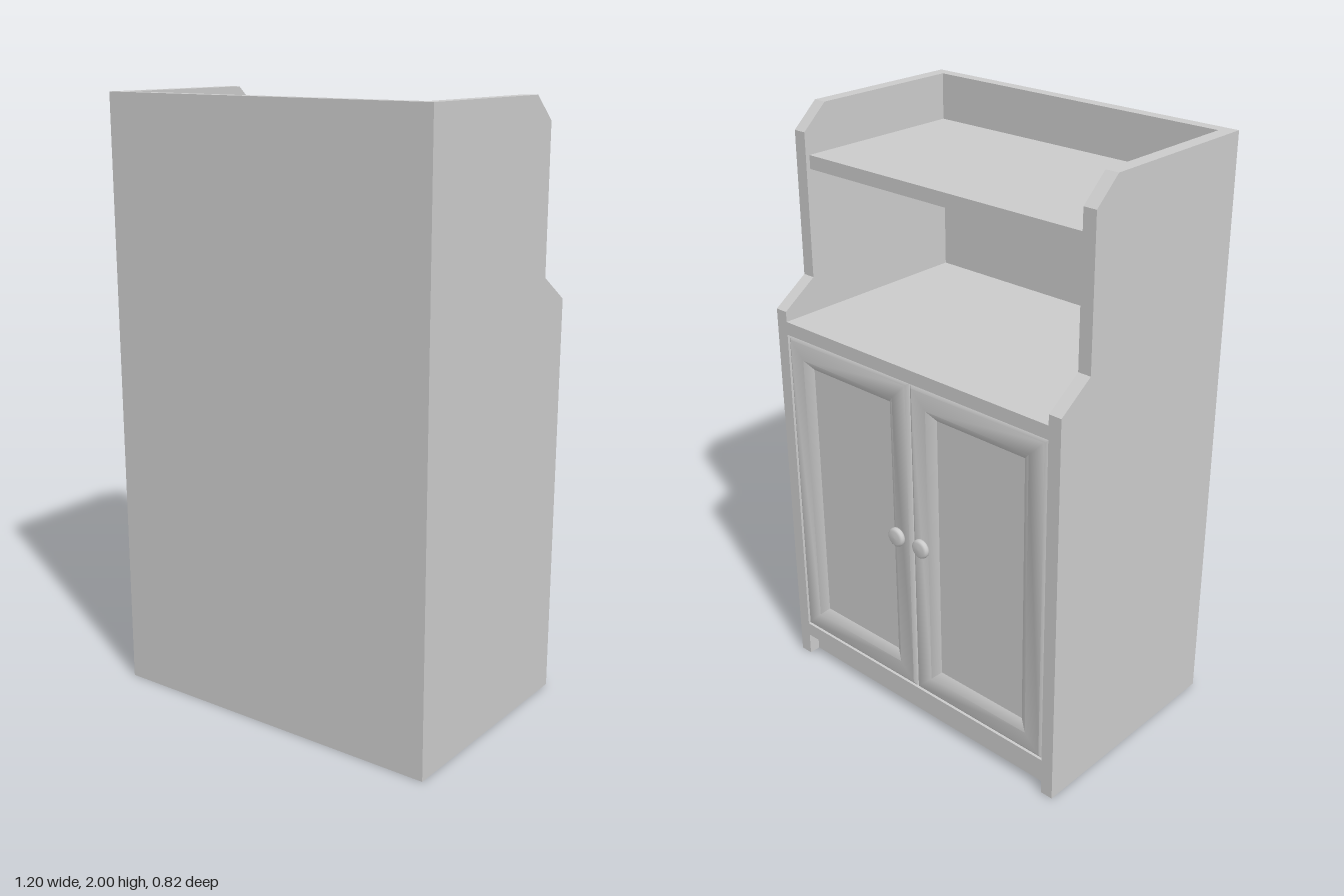
import * as THREE from 'three';
import { toCreasedNormals } from 'three/addons/utils/BufferGeometryUtils.js';

const material = new THREE.MeshStandardMaterial({ color: 0xcccccc });

function add(parent, name, geometry, x = 0, y = 0, z = 0) {
  const mesh = new THREE.Mesh(geometry, material);
  mesh.name = name;
  mesh.position.set(x, y, z);
  parent.add(mesh);
  return mesh;
}

// Box given by its limits, centred on x
function slab(parent, name, width, y0, y1, z0, z1) {
  return add(parent, name, new THREE.BoxGeometry(width, y1 - y0, z1 - z0), 0, (y0 + y1) / 2, (z0 + z1) / 2);
}

// Mitred rectangular frame: each step is [inset from the outer edge, z]
function frameGeometry(w, h, steps) {
  const loops = steps.map(([inset, z]) => {
    const a = w / 2 - inset, b = h / 2 - inset;
    return [[-a, -b, z], [a, -b, z], [a, b, z], [-a, b, z]];
  });
  const positions = [];
  for (let s = 0; s < loops.length - 1; s++) {
    for (let i = 0; i < 4; i++) {
      const j = (i + 1) % 4;
      const a = loops[s][i], b = loops[s][j], c = loops[s + 1][j], d = loops[s + 1][i];
      positions.push(...a, ...b, ...c, ...a, ...c, ...d);
    }
  }
  const geometry = new THREE.BufferGeometry();
  geometry.setAttribute('position', new THREE.Float32BufferAttribute(positions, 3));
  return toCreasedNormals(geometry, 0.8);
}

export function createModel() {
  const model = new THREE.Group();
  model.name = 'cupboard';

  // The cupboard is built with its doors on +z, then turned to face -z
  const body = new THREE.Group();
  body.name = 'body';
  body.rotation.y = Math.PI;
  model.add(body);

  const inner = 1.11, back = -0.41, front = 0.38;

  // Stepped side panels, profile drawn as (z, y)
  const profile = new THREE.Shape([
    [back, 0], [front, 0], [front, 1.355], [0.255, 1.44],
    [0.255, 1.92], [0.165, 2], [back, 2],
  ].map(([z, y]) => new THREE.Vector2(-z, y)));
  const sideGeometry = new THREE.ExtrudeGeometry(profile, { depth: 0.045, bevelEnabled: false });
  sideGeometry.translate(0, 0, -0.0225).rotateY(Math.PI / 2);
  for (const s of [-1, 1]) add(body, 'sidePanel', sideGeometry, s * 0.5775, 0, 0);

  // Back, shelves and base
  slab(body, 'backPanel', inner, 0, 2, back, -0.37);
  slab(body, 'topShelf', inner, 1.8, 1.845, -0.37, 0.24);
  slab(body, 'counter', inner, 1.275, 1.32, -0.37, front);
  slab(body, 'bottomShelf', inner, 0.08, 0.13, -0.37, front);
  slab(body, 'toeKick', inner, 0, 0.08, -0.37, 0.34);

  // Framed doors with recessed panels and round knobs
  const doorW = 0.552, doorH = 1.141, doorY = 0.7025;
  const doorFrame = frameGeometry(doorW, doorH, [
    [0, -0.04], [0, -0.008], [0.012, 0], [0.07, 0], [0.1, -0.02],
  ]);
  const doorPanel = new THREE.BoxGeometry(doorW - 0.19, doorH - 0.19, 0.018);
  const knob = new THREE.LatheGeometry([
    [0.014, 0], [0.014, 0.005], [0.026, 0.006], [0.032, 0.011], [0.033, 0.017],
    [0.031, 0.024], [0.024, 0.029], [0, 0.03],
  ].map(([r, y]) => new THREE.Vector2(r, y)), 24);
  knob.rotateX(Math.PI / 2);
  for (const s of [-1, 1]) {
    const door = new THREE.Group();
    door.name = 'door';
    door.position.set(s * 0.278, doorY, front);
    body.add(door);
    add(door, 'doorFrame', doorFrame);
    add(door, 'doorPanel', doorPanel, 0, 0, -0.029);
    add(door, 'knob', knob, -s * 0.224, 0.715 - doorY, 0);
  }

  return model;
}
